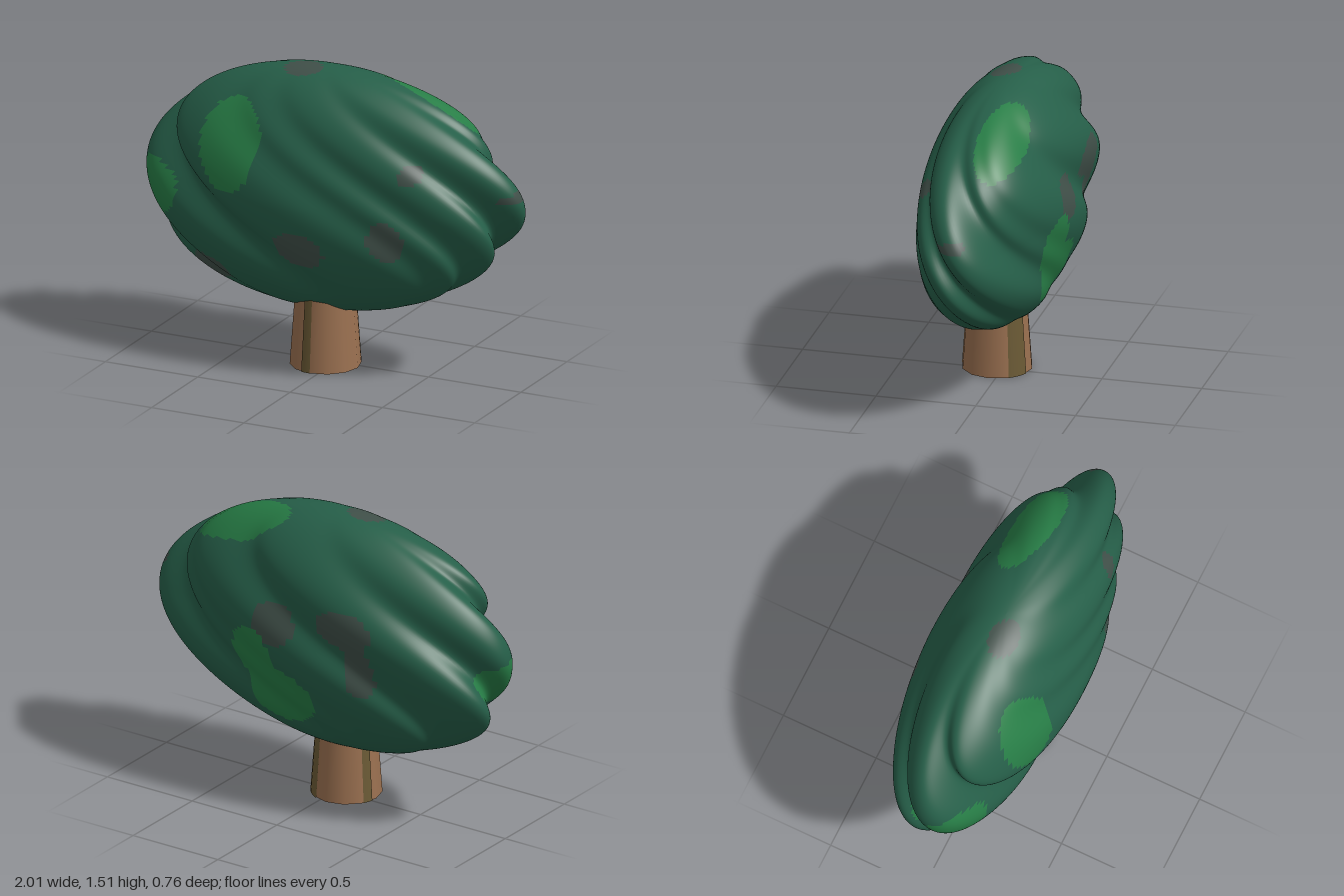
import * as THREE from 'three';

const CENTER_Y = 0.895, TWIST = 2;

// Grooves (and one bulge) around the crown's cross-section: angle, depth, half width
const GROOVES = [
  [0.36, 0.14, 0.2], [0.7, 0.05, 0.25], [1.05, 0.12, 0.2], [1.45, 0.08, 0.2], [2.5, 0.15, 0.22],
  [3.58, 0.1, 0.22], [4.05, -0.05, 0.25], [4.55, 0.11, 0.2], [5.35, 0.07, 0.2], [5.72, 0.14, 0.22],
];

function grooveDepth(angle) {
  let sum = 0;
  for (const [at, depth, width] of GROOVES) {
    const d = Math.atan2(Math.sin(angle - at), Math.cos(angle - at));
    sum += depth * Math.exp(-((d / width) ** 2));
  }
  return sum;
}

// Point on the flattened crown: a grooved section twisted along its height,
// leaning a little to one side towards its top and bottom
function crownPoint(theta, phi) {
  const c = Math.cos(phi), s = Math.sin(phi), h = 0.613 * c;
  const r = s * (1.01 - s * grooveDepth(theta - TWIST * (h - 0.055)));
  const shiftX = c > 0 ? -0.045 * c * c : -0.09 * c * c;
  const shiftZ = -0.02 * Math.max(0, c);
  return [r * Math.cos(theta) + shiftX, CENTER_Y + h, 0.38 * r * Math.sin(theta) + shiftZ];
}

// Colour patches: centre x, y, z and radii x, y, z
const LIGHT = [
  [-0.42, 1.15, 0.3, 0.17, 0.23, 0.3],
  [-0.9, 0.82, 0.1, 0.22, 0.14, 0.2],
  [0.43, 1.36, -0.12, 0.34, 0.18, 0.11],
  [0.25, 0.8, -0.34, 0.13, 0.15, 0.2],
  [0.1, 0.6, -0.3, 0.2, 0.16, 0.2],
];
const BROWN = [
  [-0.02, 0.68, 0.34, 0.14, 0.09, 0.2],
  [0.43, 0.78, 0.3, 0.09, 0.1, 0.2],
  [0.53, 1.12, 0.25, 0.05, 0.05, 0.2],
  [-0.6, 0.46, 0.15, 0.13, 0.08, 0.2],
  [0.92, 1.0, 0, 0.08, 0.05, 0.08],
  [-0.15, 1.48, 0.02, 0.1, 0.08, 0.07],
  [0.11, 0.99, -0.35, 0.12, 0.11, 0.2],
  [-0.3, 1.05, -0.35, 0.16, 0.1, 0.2],
  [-0.38, 0.85, -0.32, 0.08, 0.14, 0.2],
];
const inside = (list, p) => list.some(([x, y, z, a, b, c]) =>
  ((p[0] - x) / a) ** 2 + ((p[1] - y) / b) ** 2 + ((p[2] - z) / c) ** 2 < 1);

function buildCrown(group) {
  const rows = 100, cols = 180, pos = [], all = [], parts = [[], [], []];
  for (let i = 0; i <= rows; i++)
    for (let j = 0; j < cols; j++)
      pos.push(...crownPoint(j / cols * Math.PI * 2, i / rows * Math.PI));

  for (let i = 0; i < rows; i++) {
    for (let j = 0; j < cols; j++) {
      const k = (j + 1) % cols;
      const a = i * cols + j, c = i * cols + k, b = a + cols, d = c + cols;
      const quad = [];
      if (i > 0) quad.push(a, c, b);
      if (i < rows - 1) quad.push(c, d, b);
      all.push(...quad);
      const p = pos.slice(a * 3, a * 3 + 3);
      parts[inside(LIGHT, p) ? 1 : inside(BROWN, p) ? 2 : 0].push(...quad);
    }
  }

  // Shared smooth normals, then one mesh per leaf colour
  const base = new THREE.BufferGeometry();
  base.setAttribute('position', new THREE.Float32BufferAttribute(pos, 3));
  base.setIndex(all);
  base.computeVertexNormals();
  const looks = [['foliage', 0x265f49], ['lightLeafPatches', 0x277d46], ['brownLeafPatches', 0x405049]];
  looks.forEach(([name, color], n) => {
    const g = new THREE.BufferGeometry();
    g.setAttribute('position', base.getAttribute('position'));
    g.setAttribute('normal', base.getAttribute('normal'));
    g.setIndex(parts[n]);
    const mesh = new THREE.Mesh(g, new THREE.MeshStandardMaterial({ color }));
    mesh.name = name;
    group.add(mesh);
  });
}

function buildTrunk(group) {
  const trunk = new THREE.Group();
  trunk.name = 'trunk';
  trunk.position.set(-0.04, 0, 0.035);

  // Tapered stem running up into the crown
  const stem = new THREE.Mesh(
    new THREE.CylinderGeometry(0.143, 0.174, 0.44, 12),
    new THREE.MeshStandardMaterial({ color: 0x9a7050 }));
  stem.position.y = 0.22;
  stem.name = 'stem';
  trunk.add(stem);

  // Dark bark strips: start angle from the front and arc
  for (const [angle, arc] of [[-0.27, 0.28], [2.15, 0.6], [-2.05, 0.3]]) {
    const strip = new THREE.Mesh(
      new THREE.CylinderGeometry(0.145, 0.176, 0.44, 3, 1, true, angle, arc),
      new THREE.MeshStandardMaterial({ color: 0x6b5a35, side: THREE.DoubleSide }));
    strip.position.y = 0.22;
    strip.name = 'barkStrip';
    trunk.add(strip);
  }
  group.add(trunk);
}

export function createModel() {
  const group = new THREE.Group();
  group.name = 'tree';
  buildTrunk(group);
  buildCrown(group);
  return group;
}
